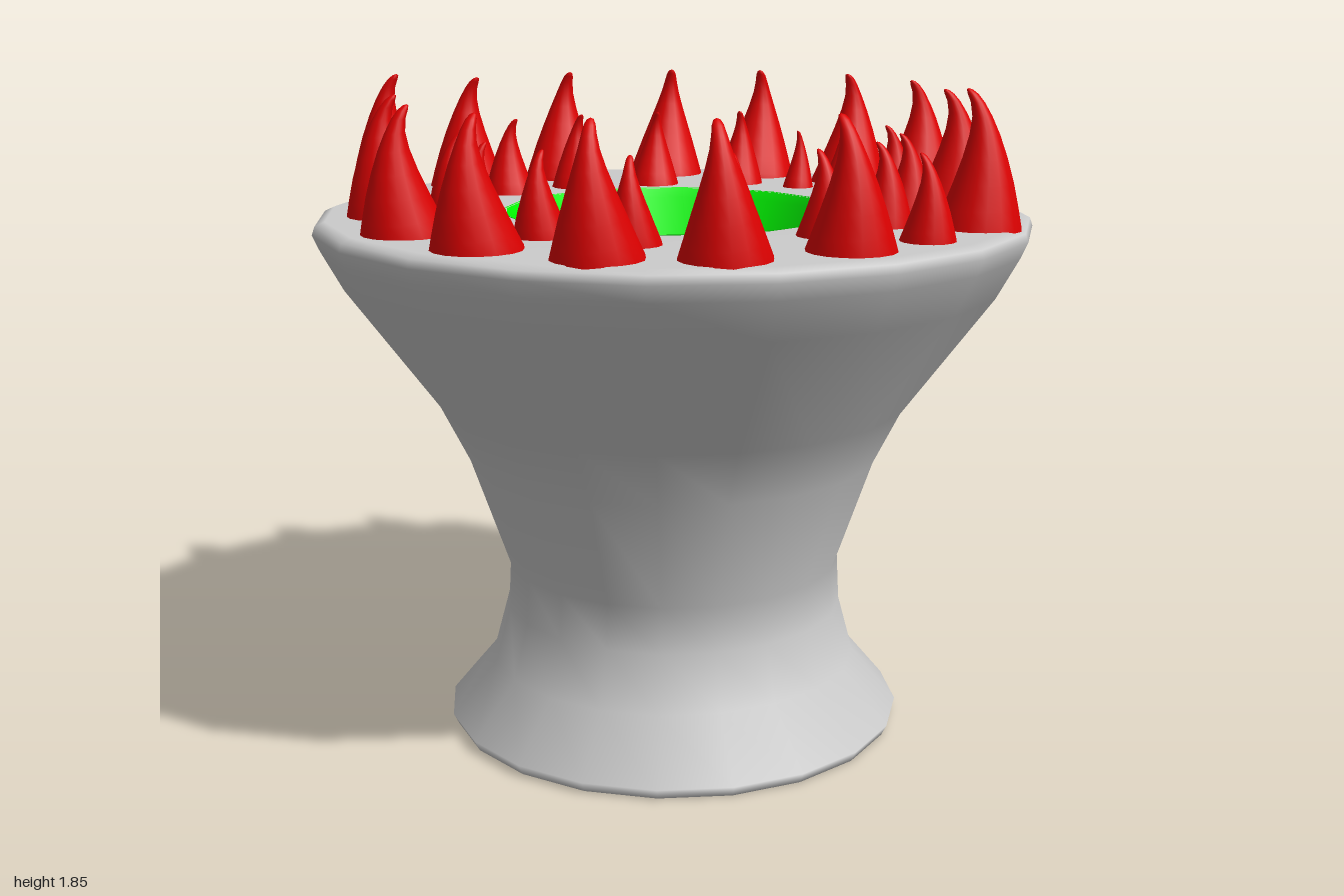
import * as THREE from 'three';
import { mergeVertices } from 'three/addons/utils/BufferGeometryUtils.js';

const SIDES = 20;
const RIM_Y = 1.49;

const grey = new THREE.MeshStandardMaterial({ color: 0xcccccc, side: THREE.DoubleSide });
const green = new THREE.MeshStandardMaterial({ color: 0x00ff00, side: THREE.DoubleSide });
const red = new THREE.MeshStandardMaterial({ color: 0xdd0000 });

const lathe = (points, sides) =>
  new THREE.LatheGeometry(points.map(([r, y]) => new THREE.Vector2(r, y)), sides);

function addLathe(group, name, points, material) {
  const mesh = new THREE.Mesh(lathe(points, SIDES), material);
  mesh.name = name;
  group.add(mesh);
}

// Unit spike (radius 1, height 1): a tapering cone that bulges back, then hooks towards +x
function spikeGeometry() {
  const profile = [[1.03, -0.08], [1, 0], [0.87, 0.14], [0.7, 0.32], [0.52, 0.5],
    [0.35, 0.67], [0.23, 0.8], [0.16, 0.9], [0.12, 0.96], [0.07, 0.99], [0, 1]];
  const geometry = lathe(profile, 16);
  const p = geometry.attributes.position;
  for (let i = 0; i < p.count; i++) {
    const y = Math.max(p.getY(i), 0);
    p.setX(i, p.getX(i) - 0.1 * Math.sin(Math.PI * y) + 0.34 * y ** 8);
  }
  geometry.deleteAttribute('uv');
  geometry.deleteAttribute('normal');
  const merged = mergeVertices(geometry, 1e-4);
  merged.computeVertexNormals();
  return merged;
}

// Each spike: x, z, base radius, height
const outerSpikes = [
  [-0.05, -0.86, 0.117, 0.33], [0.275, -0.8, 0.117, 0.33], [0.54, -0.62, 0.115, 0.33],
  [0.72, -0.335, 0.115, 0.33], [0.865, 0, 0.115, 0.36], [0.8, 0.28, 0.073, 0.22],
  [0.665, 0.5, 0.115, 0.33], [0.425, 0.735, 0.117, 0.33], [0.14, 0.84, 0.117, 0.33],
  [-0.19, 0.82, 0.117, 0.33], [-0.475, 0.67, 0.115, 0.33], [-0.68, 0.4, 0.115, 0.33],
  [-0.865, 0.08, 0.115, 0.36], [-0.79, -0.27, 0.115, 0.33], [-0.61, -0.57, 0.115, 0.33],
  [-0.34, -0.79, 0.117, 0.33],
];
const innerSpikes = [
  [-0.035, -0.64], [0.17, -0.61, 0.047, 0.17], [0.34, -0.53], [0.53, -0.37],
  [0.63, -0.165], [0.63, 0.07], [0.535, 0.295], [0.355, 0.46],
  [0.135, 0.61], [-0.13, 0.58], [-0.36, 0.465], [-0.535, 0.29],
  [-0.61, 0.075], [-0.59, -0.16], [-0.465, -0.365], [-0.27, -0.52],
];

function spikeRing(name, spikes, geometry) {
  const ring = new THREE.Group();
  ring.name = name;
  for (const [x, z, radius = 0.075, height = 0.22] of spikes) {
    const spike = new THREE.Mesh(geometry, red);
    spike.name = 'spike';
    spike.position.set(x, RIM_Y, z);
    spike.scale.set(radius, height, radius);
    // Hook towards the centre, with a slight outward lean at front and back
    spike.rotation.set(0.18 * z, Math.atan2(z, -x), 0);
    ring.add(spike);
  }
  return ring;
}

export function createModel() {
  const model = new THREE.Group();
  model.name = 'spikedPedestal';

  // Thin hollow body: down the inside, round the foot, up the outside and over the rim
  addLathe(model, 'body', [
    [0.93, 1.42], [0.89, 1.3], [0.65, 0.97], [0.57, 0.8], [0.465, 0.48], [0.472, 0.35],
    [0.515, 0.19], [0.625, 0.02], [0.63, 0.003], [0.645, 0.005], [0.66, 0.035],
    [0.53, 0.19], [0.487, 0.35], [0.48, 0.48], [0.59, 0.8], [0.67, 0.96], [0.92, 1.3],
    [0.98, 1.41], [1, 1.455], [0.992, 1.478], [0.965, RIM_Y], [0.47, RIM_Y],
  ], grey);

  // Coloured funnel with a rolled lip, and its floor
  addLathe(model, 'funnel', [[0.475, RIM_Y + 0.002], [0.46, 1.465], [0.25, 0.98]], green);
  addLathe(model, 'funnelFloor', [[0.25, 0.98], [0, 0.98]], grey);

  // Two rings of hooked spikes
  const geometry = spikeGeometry();
  model.add(spikeRing('outerSpikes', outerSpikes, geometry));
  model.add(spikeRing('innerSpikes', innerSpikes, geometry));
  return model;
}
